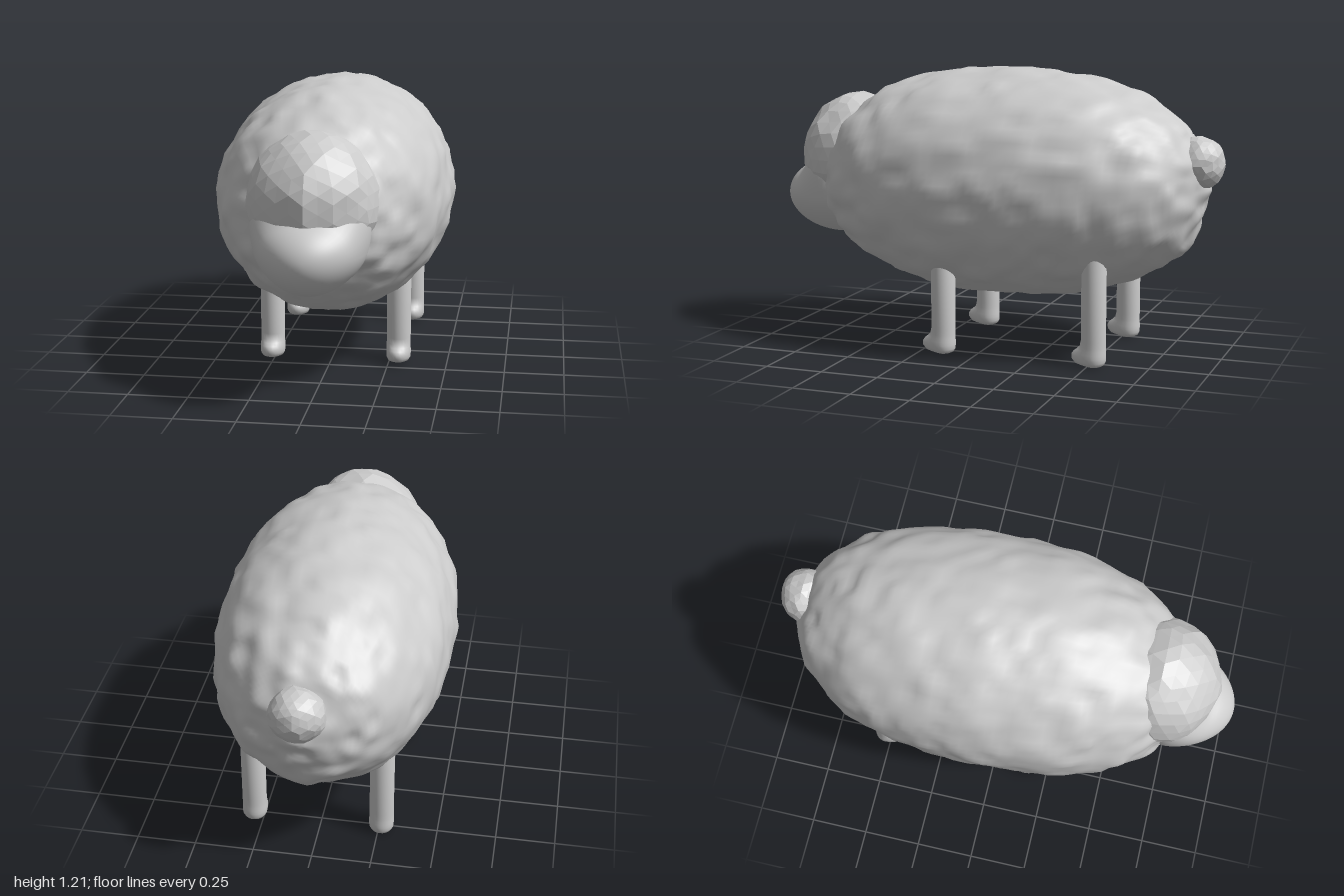
import * as THREE from 'three';
import { mergeVertices } from 'three/addons/utils/BufferGeometryUtils.js';

const smoothMat = new THREE.MeshStandardMaterial({ color: 0xcccccc });
const facetMat = new THREE.MeshStandardMaterial({ color: 0xcccccc, flatShading: true });

// Moves every vertex by a rule and welds the seams for even shading
function reshape(geometry, rule) {
  geometry.deleteAttribute('uv');
  geometry.deleteAttribute('normal');
  const g = mergeVertices(geometry, 1e-4);
  const p = g.attributes.position;
  const v = new THREE.Vector3();
  for (let i = 0; i < p.count; i++) {
    rule(v.fromBufferAttribute(p, i));
    p.setXYZ(i, v.x, v.y, v.z);
  }
  g.computeVertexNormals();
  return g;
}

// Smooth value noise in -1..1
function hash(x, y, z) {
  const s = Math.sin(x * 127.1 + y * 311.7 + z * 74.7) * 43758.5453;
  return (s - Math.floor(s)) * 2 - 1;
}
function noise(x, y, z) {
  const c = [x, y, z].map(Math.floor);
  const f = [x - c[0], y - c[1], z - c[2]].map((t) => t * t * (3 - 2 * t));
  let sum = 0;
  for (let k = 0; k < 8; k++) {
    const b = [k & 1, (k >> 1) & 1, k >> 2];
    const w = b.reduce((a, on, i) => a * (on ? f[i] : 1 - f[i]), 1);
    sum += w * hash(c[0] + b[0], c[1] + b[1], c[2] + b[2]);
  }
  return sum;
}

function add(group, name, geometry, material, x, y, z) {
  const mesh = new THREE.Mesh(geometry, material);
  mesh.name = name;
  mesh.position.set(x, y, z);
  group.add(mesh);
  return mesh;
}

// Lumpy fleece: a full, slightly squared ellipsoid along z
function bodyGeometry() {
  const sphere = new THREE.SphereGeometry(1, 96, 80).rotateX(Math.PI / 2);
  const power = 2.25;
  return reshape(sphere, (v) => {
    const full = (Math.hypot(v.x, v.y) ** power + Math.abs(v.z) ** power) ** (-1 / power);
    const lump = noise(v.x * 4 + 9, v.y * 4 + 9, v.z * 6 + 9);
    const tuft = noise(v.x * 8 + 30, v.y * 8 + 30, v.z * 13 + 30);
    const s = full * (1 + 0.014 * lump + 0.02 * tuft);
    v.set(v.x * 0.499 * s, v.y * 0.488 * s, v.z * 0.862 * s);
  });
}

// Coarse faceted wool ball
function woolGeometry(detail, rx, ry, rz, rough) {
  return reshape(new THREE.IcosahedronGeometry(1, detail), (v) => {
    const s = 1 + rough * noise(v.x * 4 + 5, v.y * 4 + 5, v.z * 4 + 5);
    v.set(v.x * rx * s, v.y * ry * s, v.z * rz * s);
  });
}

// Egg-shaped face: round snout in front, rising and widening under the crown
function faceGeometry() {
  return reshape(new THREE.SphereGeometry(1, 48, 40).rotateX(Math.PI / 2), (v) => {
    const rise = v.y > 0 ? 1 - THREE.MathUtils.smoothstep(v.z, 0, 0.65) : 0;
    const y = v.y * 0.172 * (1 + rise);
    const taper = 1 - 0.1 * Math.max(0, v.z);
    v.set(v.x * (0.226 + 0.25 * y) * taper, y, v.z * 0.26);
  });
}

// Round post with a soft sole and a toe pushed forward
function legGeometry() {
  const profile = [
    [0, 0], [0.03, 0.001], [0.045, 0.008], [0.052, 0.022], [0.053, 0.04],
    [0.053, 0.055], [0.052, 0.07], [0.052, 0.085], [0.052, 0.11], [0.052, 0.5], [0, 0.52],
  ].map(([r, y]) => new THREE.Vector2(r, y));
  return reshape(new THREE.LatheGeometry(profile, 24), (v) => {
    const toe = 1 - THREE.MathUtils.smoothstep(v.y, 0.035, 0.1);
    if (v.z > 0) v.z *= 1 + 0.78 * toe;
    v.y += 0.008 * toe * Math.max(0, v.z / 0.08);
  });
}

export function createModel() {
  const model = new THREE.Group();
  model.name = 'sheep';

  add(model, 'body', bodyGeometry(), smoothMat, 0, 0.72, -0.062);

  // Head: woolly crown over a smooth face
  const head = new THREE.Group();
  head.name = 'head';
  model.add(head);
  add(head, 'crown', woolGeometry(4, 0.266, 0.28, 0.258, 0.035), facetMat, 0, 0.8, 0.657);
  add(head, 'face', faceGeometry(), smoothMat, 0, 0.622, 0.74);

  add(model, 'tail', woolGeometry(3, 0.115, 0.112, 0.108, 0.05), facetMat, 0.02, 0.832, -0.892);

  // Four legs
  const leg = legGeometry();
  for (const [side, x] of [['left', 0.29], ['right', -0.262]]) {
    add(model, side + 'FrontLeg', leg, smoothMat, x, 0, 0.146);
    add(model, side + 'BackLeg', leg, smoothMat, x, 0, -0.522);
  }
  return model;
}
